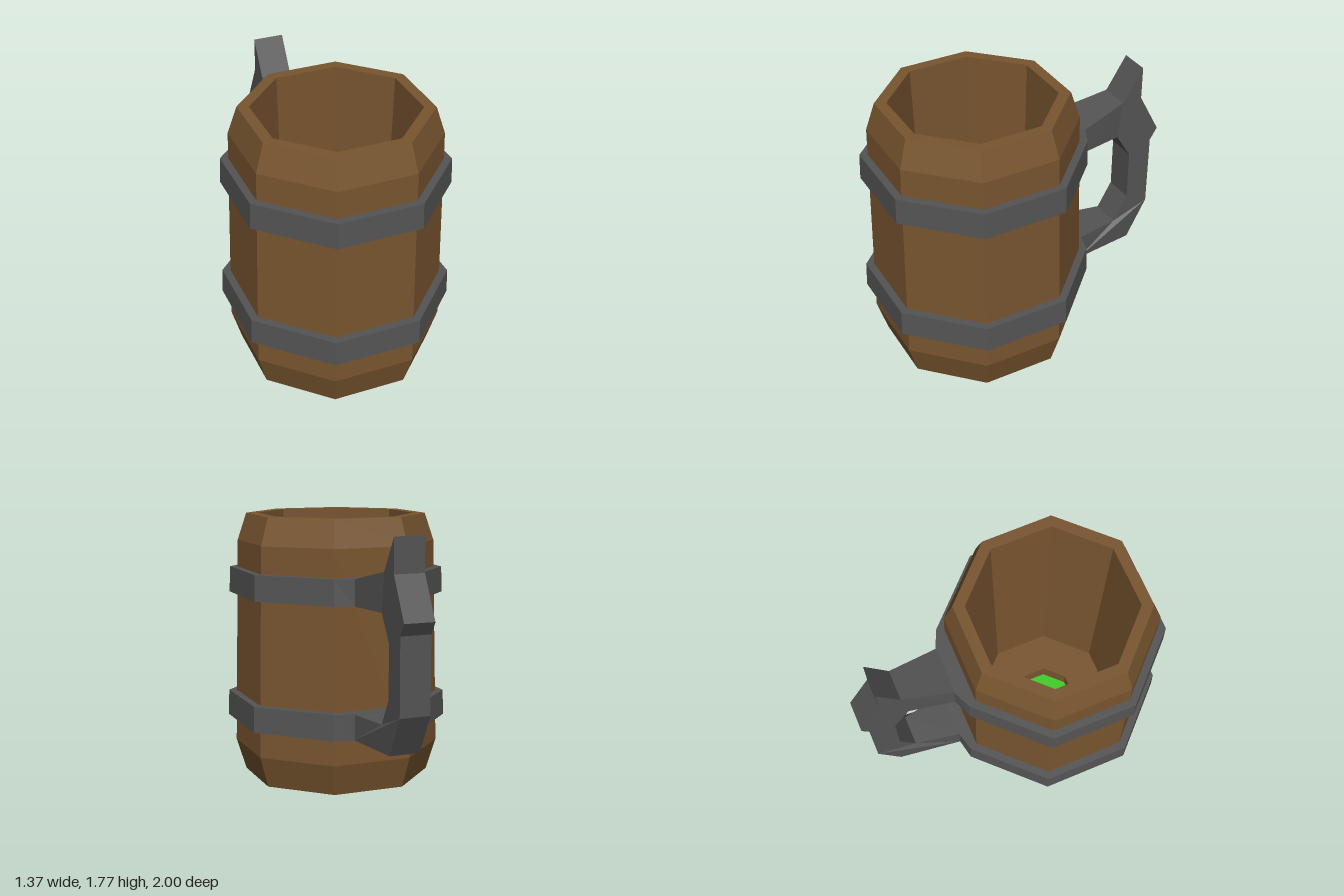
import * as THREE from 'three';

const wood = new THREE.MeshStandardMaterial({ color: 0x78552f });
wood.name = 'wood';
const metal = new THREE.MeshStandardMaterial({ color: 0x545454 });
metal.name = 'dark metal';
const green = new THREE.MeshStandardMaterial({ color: 0x3fce27, side: THREE.DoubleSide });
green.name = 'green base';

const CENTRE_Z = 0.315;
const toRadius = (apothem) => apothem / Math.cos(Math.PI / 8);

// Facet the geometry and wrap it in a named mesh
function part(name, geometry, material) {
  const g = geometry.index ? geometry.toNonIndexed() : geometry;
  g.computeVertexNormals();
  const mesh = new THREE.Mesh(g, material);
  mesh.name = name;
  return mesh;
}

// Octagon corners with a flat side to the front
function octagon(apothem) {
  const r = toRadius(apothem);
  return Array.from({ length: 8 }, (_, i) => {
    const a = Math.PI / 8 + (i * Math.PI) / 4;
    return new THREE.Vector2(r * Math.cos(a), r * Math.sin(a));
  });
}

// Tapered octagonal hoop with a small swelling where the handle joins
function hoop(name, y0, y1, bottom, top) {
  const outline = octagon(bottom);
  outline.splice(2, 0, new THREE.Vector2(0.155, 0.71), new THREE.Vector2(-0.155, 0.71));
  const shape = new THREE.Shape(outline);
  shape.holes.push(new THREE.Path(octagon(0.6).reverse()));
  const g = new THREE.ExtrudeGeometry(shape, { depth: y1 - y0, bevelEnabled: false });
  g.rotateX(-Math.PI / 2);
  const p = g.attributes.position;
  for (let i = 0; i < p.count; i++) {
    // narrow the upper edge, leaving the handle joint in place
    if (p.getY(i) > 0.01 && p.getZ(i) > -0.7) {
      p.setX(i, (p.getX(i) * top) / bottom);
      p.setZ(i, (p.getZ(i) * top) / bottom);
    }
  }
  g.translate(0, y0, CENTRE_Z);
  return part(name, g, metal);
}

// Handle side outline, extruded across x and flared at both roots
function handle() {
  const side = [
    [-0.39, 1.41], [-0.715, 1.49], [-0.855, 1.71], [-0.855, 1.49], [-1, 1.22],
    [-0.95, 1.14], [-0.95, 0.65], [-0.81, 0.387], [-0.39, 0.387], [-0.39, 0.555],
    [-0.69, 0.555], [-0.79, 0.73], [-0.79, 1.07], [-0.685, 1.24], [-0.39, 1.24],
  ];
  const shape = new THREE.Shape(side.map(([z, y]) => new THREE.Vector2(-z, y)));
  const g = new THREE.ExtrudeGeometry(shape, { depth: 2, bevelEnabled: false });
  g.translate(0, 0, -1);
  g.rotateY(Math.PI / 2);
  const p = g.attributes.position;
  for (let i = 0; i < p.count; i++) {
    p.setX(i, p.getX(i) * (p.getZ(i) > -0.4 ? 0.155 : 0.1));
  }
  return part('handle', g, metal);
}

export function createModel() {
  const model = new THREE.Group();
  model.name = 'tankard';

  // Barrel wall: outside, rim, inside, and floor with a central opening
  const profile = [
    [0.577, 0], [0.637, 0.21], [0.607, 1.59], [0.552, 1.77],
    [0.483, 1.77], [0.437, 0.12], [0.2, 0.12], [0.2, 0],
  ].map(([a, y]) => new THREE.Vector2(toRadius(a), y));
  const barrel = part('barrel', new THREE.LatheGeometry(profile, 8, Math.PI / 8), wood);
  barrel.position.z = CENTRE_Z;

  // Base plate, seen from below and through the floor opening
  const plate = new THREE.CircleGeometry(toRadius(0.577), 8, Math.PI / 8);
  plate.rotateX(Math.PI / 2);
  const base = part('basePlate', plate, green);
  base.position.z = CENTRE_Z;

  model.add(
    barrel,
    base,
    hoop('lowerHoop', 0.387, 0.557, 0.684, 0.678),
    hoop('upperHoop', 1.24, 1.41, 0.664, 0.658),
    handle(),
  );
  return model;
}
